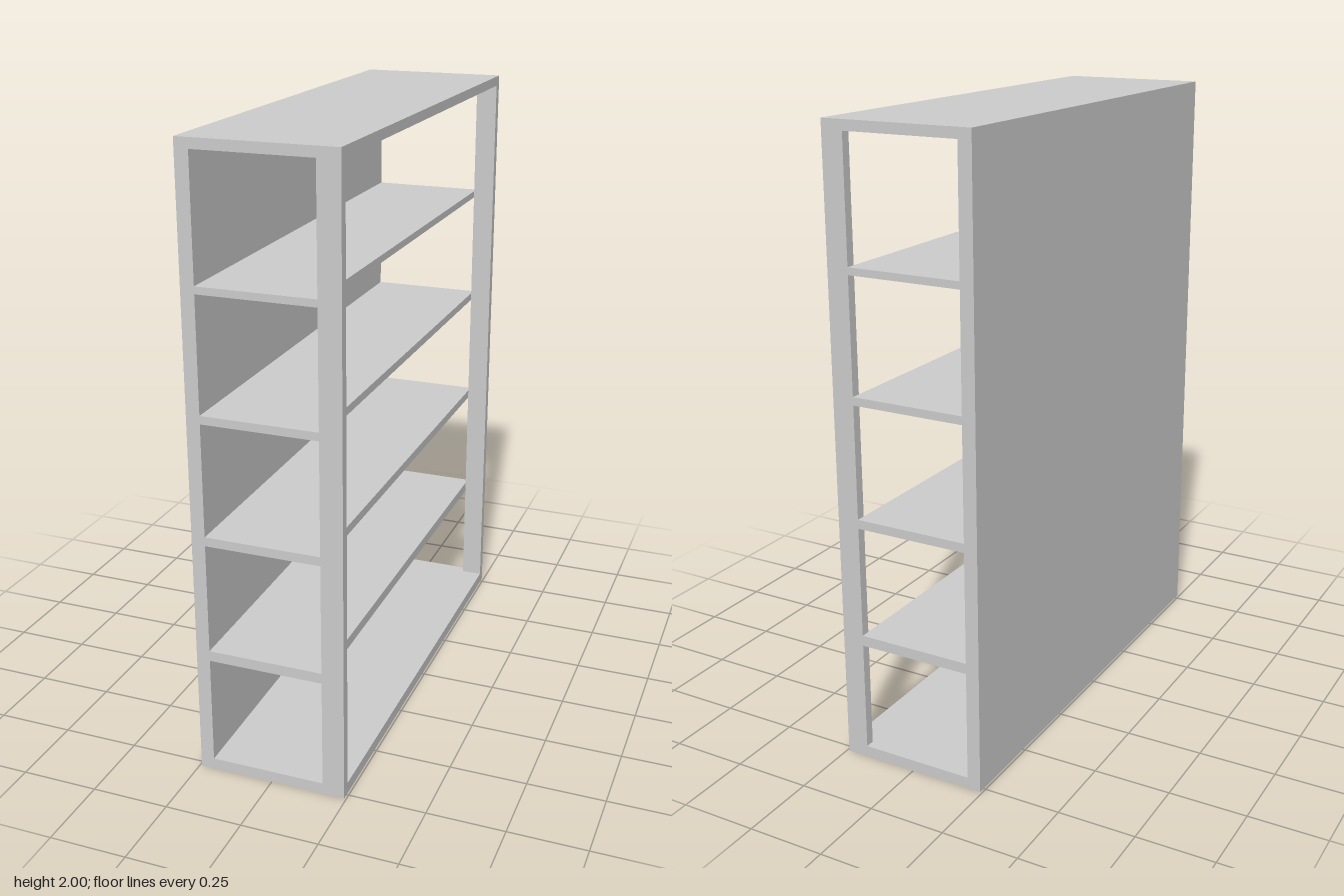
import * as THREE from 'three';

// Overall half width, half depth, and the planes the parts meet on
const X = 0.243, Z = 0.771, H = 2;
const T = 0.03;                       // end frame thickness
const backX = -0.199, postX = 0.172;  // inner faces of back panel and posts
const bottomTop = 0.037, topUnder = 1.968;
const shelves = [[0.392, 0.426], [0.784, 0.813], [1.174, 1.2], [1.563, 1.586]];

const material = new THREE.MeshStandardMaterial({ color: 0xcccccc, flatShading: true });

function rect(Type, x0, y0, x1, y1) {
  const r = new Type();
  r.moveTo(x0, y0);
  r.lineTo(x1, y0);
  r.lineTo(x1, y1);
  r.lineTo(x0, y1);
  r.closePath();
  return r;
}

export function createModel() {
  const group = new THREE.Group();
  group.name = 'shelvingUnit';

  const add = (name, geometry) => {
    const mesh = new THREE.Mesh(geometry, material);
    mesh.name = name;
    group.add(mesh);
    return mesh;
  };

  // Board spanning the length between the two end frames
  const board = (name, x0, x1, y0, y1) =>
    add(name, new THREE.BoxGeometry(x1 - x0, y1 - y0, 2 * (Z - T)))
      .position.set((x0 + x1) / 2, (y0 + y1) / 2, 0);

  // End frames: one opening per bay
  const frame = rect(THREE.Shape, -X, 0, X, H);
  const floors = [bottomTop, ...shelves.map((s) => s[1])];
  const ceilings = [...shelves.map((s) => s[0]), topUnder];
  floors.forEach((y, i) => frame.holes.push(rect(THREE.Path, backX, y, postX, ceilings[i])));
  const frameGeometry = new THREE.ExtrudeGeometry(frame, { depth: T, bevelEnabled: false });
  add('frontFrame', frameGeometry).position.z = Z - T;
  add('rearFrame', frameGeometry).position.z = -Z;

  // Closed long side, bottom, top and shelves
  board('sidePanel', -X, backX, 0, H);
  board('bottomBoard', backX, X, 0, bottomTop);
  board('topBoard', backX, X, topUnder, H);
  shelves.forEach(([y0, y1], i) => board(`shelf${i + 1}`, backX, postX, y0, y1));

  return group;
}
